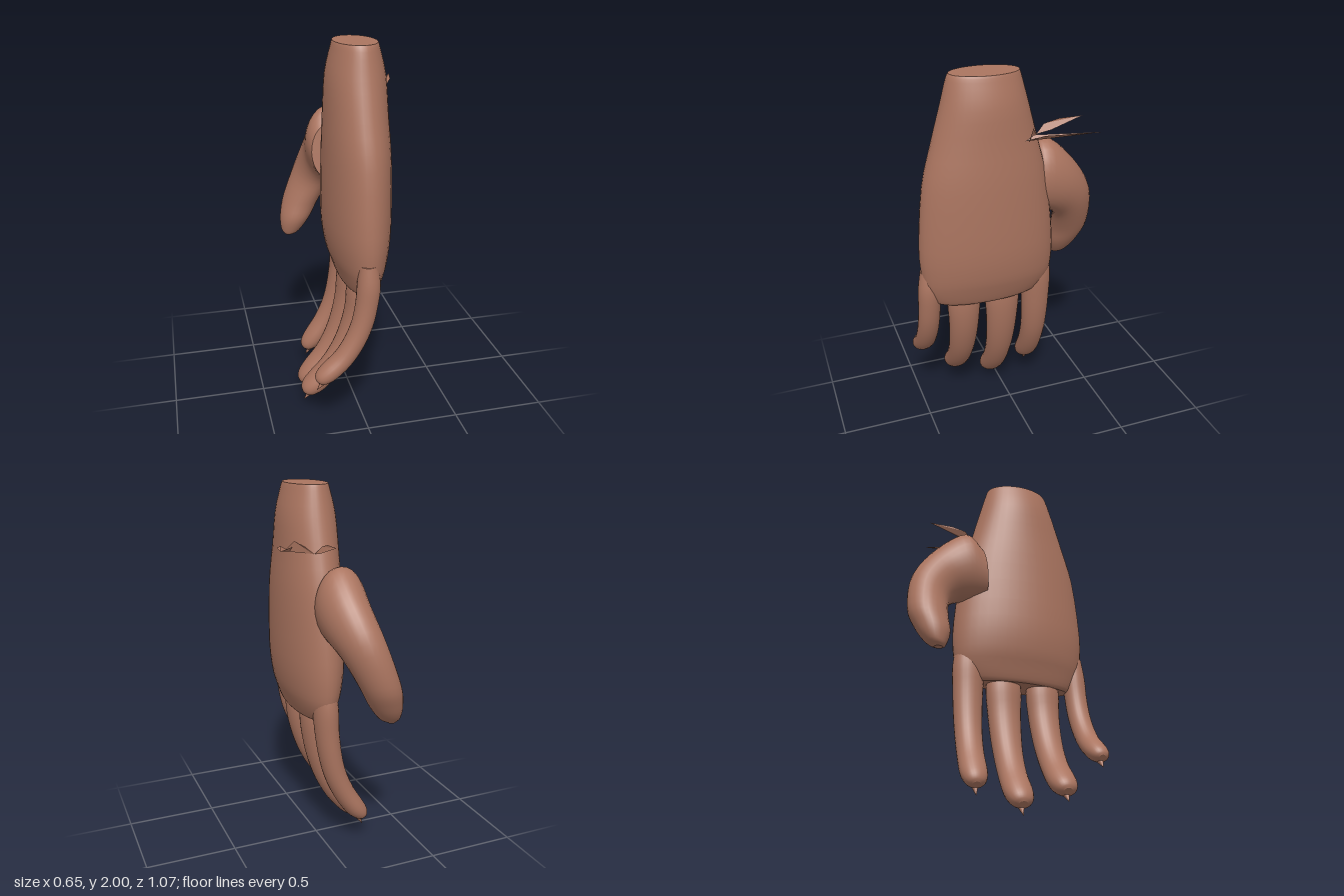
import * as THREE from 'three';

const skin = new THREE.MeshStandardMaterial({ color: 0xab7560 });
skin.name = 'skin';
const skinThin = skin.clone();
skinThin.side = THREE.DoubleSide;
skinThin.name = 'skin double sided';

const V = (x, y, z) => new THREE.Vector3(x, y, z);

// Smooth skin through elliptical rings { c: centre, u, v: half axes }, capped at both ends
function loft(rings, steps = 4, sides = 28) {
  const curve = (k) => new THREE.CatmullRomCurve3(rings.map((r) => r[k]), false, 'catmullrom', 0.5);
  const [C, U, W] = [curve('c'), curve('u'), curve('v')];
  const n = (rings.length - 1) * steps;
  const pos = [], idx = [];
  const ring = (i) => {
    const t = i / n, c = C.getPoint(t), u = U.getPoint(t), w = W.getPoint(t);
    for (let j = 0; j < sides; j++) {
      const a = (j / sides) * Math.PI * 2;
      const p = c.clone().addScaledVector(u, Math.cos(a)).addScaledVector(w, Math.sin(a));
      pos.push(p.x, p.y, p.z);
    }
    return c;
  };
  const mid = rings[1];
  const flip = mid.u.clone().cross(mid.v).dot(rings[2].c.clone().sub(rings[0].c)) < 0;
  const tri = (a, b, c) => (flip ? idx.push(a, c, b) : idx.push(a, b, c));
  for (let i = 0; i <= n; i++) ring(i);
  for (let i = 0; i < n; i++) {
    for (let j = 0; j < sides; j++) {
      const a = i * sides + j, b = i * sides + ((j + 1) % sides);
      tri(a, b, a + sides);
      tri(b, b + sides, a + sides);
    }
  }
  // end caps with their own corners, so their edges stay sharp
  for (const end of [0, n]) {
    const s = pos.length / 3;
    const c = ring(end);
    pos.push(c.x, c.y, c.z);
    for (let j = 0; j < sides; j++) {
      const a = s + j, b = s + ((j + 1) % sides);
      if (end) tri(a, b, s + sides);
      else tri(b, a, s + sides);
    }
  }
  const g = new THREE.BufferGeometry();
  g.setAttribute('position', new THREE.Float32BufferAttribute(pos, 3));
  g.setIndex(idx);
  g.computeVertexNormals();
  return g;
}

function add(parent, name, geometry, material = skin) {
  const m = new THREE.Mesh(geometry, material);
  m.name = name;
  parent.add(m);
  return m;
}

// Finger: path points [x, y], z centre and half width from root to tip
function finger(parent, name, path, z, rootW, tipW, thick) {
  const curve = new THREE.CatmullRomCurve3(path.map(([x, y]) => V(x, y, 0)));
  const rings = [];
  const stops = [0, 0.15, 0.3, 0.45, 0.6, 0.75, 0.88, 0.95, 0.985, 1];
  const round = [0.75, 1, 1, 1, 1, 1, 1, 0.85, 0.6, 0.3];
  stops.forEach((t, i) => {
    const c = curve.getPointAt(t), d = curve.getTangentAt(t);
    const w = THREE.MathUtils.lerp(rootW, tipW, Math.min(1, t * 1.5)) * round[i];
    c.z = z[0] + (z[1] - z[0]) * t;
    rings.push({
      c, u: V(0, 0, w),
      v: V(-d.y, d.x, 0).multiplyScalar(thick * (1 - 0.2 * t) * round[i]),
    });
  });
  const group = new THREE.Group();
  group.name = name;
  add(group, name + 'Body', loft(rings, 3, 24));
  // pointed nail on the back of the finger tip
  const d = curve.getTangentAt(1), nail = new THREE.ConeGeometry(0.034, 0.12, 12);
  const m = add(group, name + 'Nail', nail);
  const tip = curve.getPointAt(1);
  m.position.set(tip.x - d.x * 0.02 - d.y * 0.027, tip.y - d.y * 0.02 + d.x * 0.027, z[1]);
  m.quaternion.setFromUnitVectors(V(0, 1, 0), V(d.x * 0.7, d.y, 0).normalize());
  parent.add(group);
}

export function createModel() {
  const hand = new THREE.Group();
  hand.name = 'hand';

  // Palm and wrist: [y, x min, x max, z min, z max]
  const palm = [
    [2.0, -0.1, 0.115, -0.045, 0.315], [1.97, -0.11, 0.125, -0.055, 0.33],
    [1.84, -0.14, 0.155, -0.09, 0.365], [1.65, -0.15, 0.165, -0.14, 0.42],
    [1.43, -0.157, 0.178, -0.195, 0.478], [1.1, -0.16, 0.178, -0.235, 0.51],
    [0.93, -0.14, 0.16, -0.235, 0.503], [0.84, -0.112, 0.135, -0.215, 0.485],
    [0.77, -0.088, 0.108, -0.165, 0.45], [0.75, -0.075, 0.095, -0.13, 0.42],
  ].map(([y, x0, x1, z0, z1]) => ({
    c: V((x0 + x1) / 2, y, (z0 + z1) / 2), u: V((x1 - x0) / 2, 0, 0), v: V(0, 0, (z1 - z0) / 2),
  }));
  add(hand, 'palm', loft(palm, 3, 40));

  // Four fingers curling toward -x
  finger(hand, 'littleFinger',
    [[0.0, 0.95], [0.0, 0.8], [-0.04, 0.6], [-0.13, 0.44], [-0.27, 0.32]],
    [0.463, 0.475], 0.062, 0.06, 0.062);
  finger(hand, 'ringFinger',
    [[0.01, 0.86], [-0.01, 0.6], [-0.08, 0.39], [-0.18, 0.24], [-0.305, 0.125]],
    [0.275, 0.265], 0.098, 0.073, 0.072);
  finger(hand, 'middleFinger',
    [[0.01, 0.86], [-0.015, 0.55], [-0.08, 0.33], [-0.16, 0.19], [-0.285, 0.05]],
    [0.05, 0.042], 0.105, 0.074, 0.072);
  finger(hand, 'indexFinger',
    [[0.01, 0.97], [0.0, 0.7], [-0.04, 0.46], [-0.12, 0.28], [-0.225, 0.14]],
    [-0.145, -0.168], 0.092, 0.07, 0.07);

  // Thumb: [outer y, outer z, inner y, inner z, x, half width in x]
  const thumb = [
    [1.53, -0.12, 1.22, -0.08, -0.06, 0.11], [1.61, -0.21, 1.2, -0.18, -0.05, 0.135],
    [1.48, -0.37, 1.18, -0.25, -0.055, 0.125], [1.28, -0.5, 1.12, -0.3, -0.1, 0.115],
    [1.05, -0.535, 1.0, -0.318, -0.175, 0.105], [0.92, -0.5, 0.9, -0.318, -0.22, 0.088],
    [0.84, -0.455, 0.82, -0.345, -0.25, 0.055], [0.8, -0.41, 0.8, -0.365, -0.265, 0.02],
  ].map(([y0, z0, y1, z1, x, hx]) => ({
    c: V(x, (y0 + y1) / 2, (z0 + z1) / 2), u: V(hx, 0, 0), v: V(0, (y0 - y1) / 2, (z0 - z1) / 2),
  }));
  add(hand, 'thumb', loft(thumb, 4, 28));

  // Thin pointed blades on the wrist
  const blade = (name, corners) => {
    const g = new THREE.BufferGeometry();
    const tris = [];
    for (let i = 1; i < corners.length - 1; i++) tris.push(...corners[0], ...corners[i], ...corners[i + 1]);
    g.setAttribute('position', new THREE.Float32BufferAttribute(tris, 3));
    g.computeVertexNormals();
    add(hand, name, g, skinThin);
  };
  blade('outerBlade', [[0.33, 1.735, -0.36], [0.3, 1.73, -0.23], [0.235, 1.715, -0.1],
    [0.155, 1.67, -0.025], [0.16, 1.7, -0.07]]);
  blade('innerBlade', [[0.055, 1.735, -0.38], [0.045, 1.73, -0.25], [0.04, 1.71, -0.17],
    [0.06, 1.665, -0.12], [0.065, 1.68, -0.2]]);
  blade('bladeWeb', [[0.06, 1.665, -0.12], [0.12, 1.67, -0.06], [0.19, 1.675, -0.03],
    [0.15, 1.73, -0.07], [0.1, 1.7, -0.09]]);
  return hand;
}
